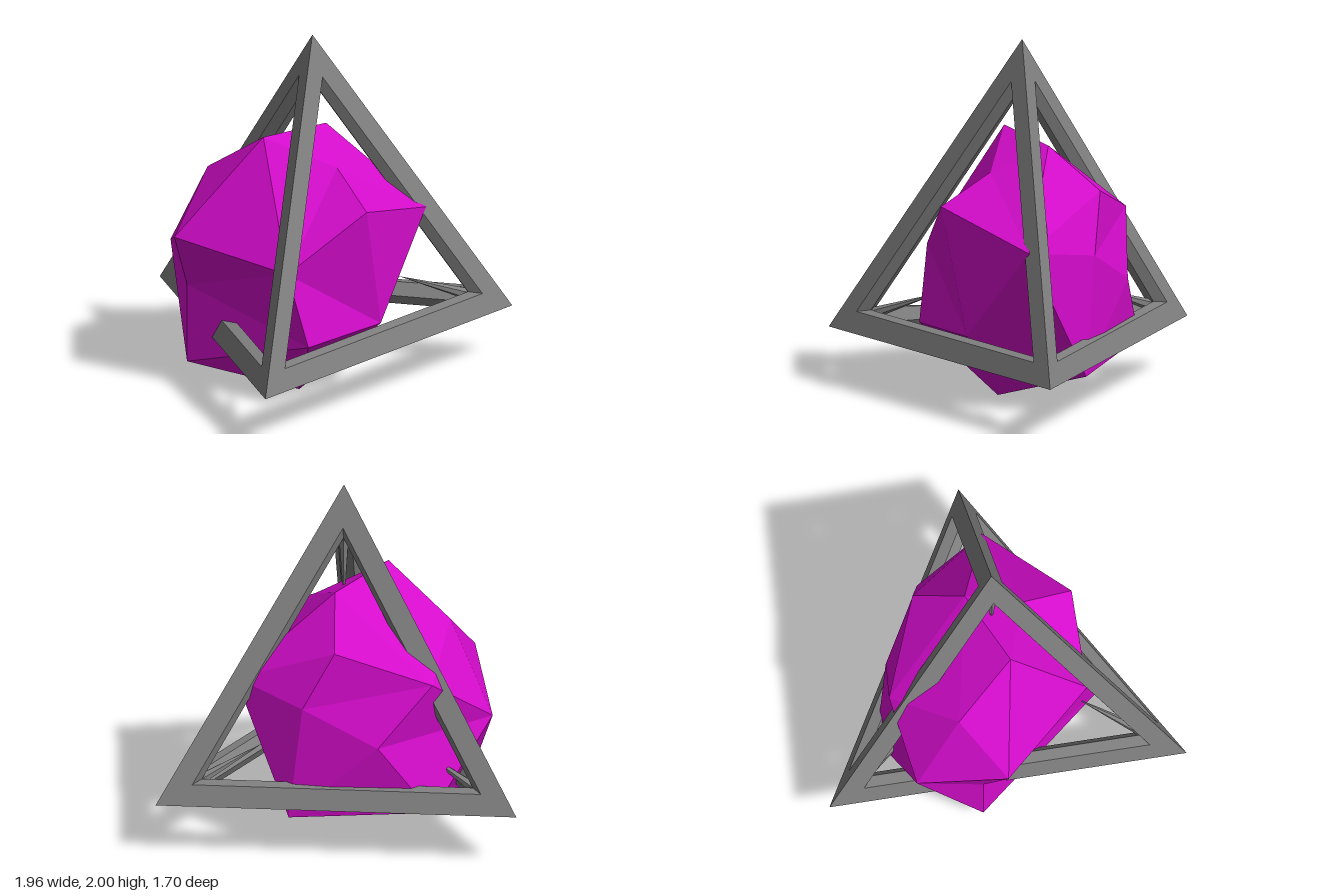
import * as THREE from 'three';

const frameGrey = new THREE.MeshStandardMaterial({ color: 0x808080 });
frameGrey.name = 'frame grey';
const gemMagenta = new THREE.MeshStandardMaterial({ color: 0xd40ccb });
gemMagenta.name = 'gem magenta';

const V = (x, y, z) => new THREE.Vector3(x, y, z);
const mean = (pts) => pts.reduce((s, p) => s.add(p), V(0, 0, 0)).divideScalar(pts.length);

// Corners of the tetrahedron: apex, two front corners, back corner
const corners = [V(0, 2, 0.283), V(-0.98, 0.305, 0.85), V(0.98, 0.305, 0.85), V(0, 0.305, -0.85)];
const centre = mean(corners);

// Collects convex polygons as triangles, each wound to face a given direction
function makeFacets() {
  const positions = [];
  return {
    add(pts, facing) {
      const normal = pts[1].clone().sub(pts[0]).cross(pts[2].clone().sub(pts[0]));
      const p = normal.dot(facing) < 0 ? [...pts].reverse() : pts;
      for (let i = 1; i < p.length - 1; i++) {
        for (const q of [p[0], p[i], p[i + 1]]) positions.push(q.x, q.y, q.z);
      }
    },
    build() {
      const geometry = new THREE.BufferGeometry();
      geometry.setAttribute('position', new THREE.Float32BufferAttribute(positions, 3));
      geometry.computeVertexNormals();
      return geometry;
    },
  };
}

// Open frame: each face has a triangular hole with walls running inwards
function frameGeometry() {
  const facets = makeFacets();
  const inner = []; // inner[f][v]: inner hole corner of face f beside corner v
  for (let f = 0; f < 4; f++) {
    const ids = [0, 1, 2, 3].filter((i) => i !== f);
    const mid = mean(ids.map((i) => corners[i]));
    const out = mid.clone().sub(centre).normalize();
    const hole = {};
    inner[f] = {};
    for (const i of ids) {
      hole[i] = mid.clone().lerp(corners[i], 0.8);
      inner[f][i] = mid.clone().lerp(corners[i], 0.75).addScaledVector(out, -0.055);
    }
    ids.forEach((i, k) => {
      const j = ids[(k + 1) % 3];
      facets.add([corners[i], corners[j], hole[j], hole[i]], out);
      const toMid = mid.clone().sub(mean([hole[i], hole[j]]));
      facets.add([hole[i], hole[j], inner[f][j], inner[f][i]], toMid);
    });
  }
  // Inward side of each bar
  for (let f = 0; f < 4; f++) {
    for (let g = f + 1; g < 4; g++) {
      const [i, j] = [0, 1, 2, 3].filter((n) => n !== f && n !== g);
      const quad = [inner[f][i], inner[f][j], inner[g][j], inner[g][i]];
      facets.add(quad, centre.clone().sub(mean(quad)));
    }
  }
  // Inward side of each corner
  for (let v = 0; v < 4; v++) {
    const tri = [0, 1, 2, 3].filter((f) => f !== v).map((f) => inner[f][v]);
    facets.add(tri, centre.clone().sub(corners[v]));
  }
  return facets.build();
}

// Irregular faceted gem
function gemGeometry() {
  const points = [
    [-0.09, 1.12, 0.77], [-0.49, 0.815, 0.555], [0.52, 0.95, 0.64], [0.55, 0.22, 0.27],
    [0.075, 0.42, 0.72], [-0.155, 0, 0.33], [-0.5, 0.125, -0.18], [0.15, 0.27, -0.4],
    [0.345, 0.67, -0.175], [-0.43, 0.4, 0.655], [-0.285, 1.46, 0.185], [0.165, 1.43, 0.23],
    [-0.02, 1.285, 0.485], [-0.655, 0.9, -0.13], [-0.305, 0.7, -0.485], [-0.5, 0.57, -0.18],
    [-0.315, 1.2, -0.2], [0.41, 1.2, 0.065], [0.53, 0.88, 0.195], [0.09, 1.0, -0.36],
  ].map((p) => V(...p));
  const faces = [
    // front
    [0, 1, 4], [0, 4, 2], [1, 9, 4], [4, 9, 5], [4, 5, 3], [4, 3, 2],
    // upper front and top
    [0, 12, 1], [0, 2, 12], [12, 2, 11], [12, 11, 10], [12, 10, 1],
    [10, 11, 16], [11, 19, 16], [11, 17, 19],
    // +x side
    [2, 11, 17], [2, 17, 18], [17, 18, 19], [18, 8, 19], [18, 3, 8], [2, 3, 18], [3, 7, 8],
    // -x side
    [16, 13, 10], [10, 13, 1], [1, 15, 13], [1, 9, 15], [9, 6, 15], [9, 5, 6],
    // back and underside
    [16, 19, 14], [16, 14, 13], [13, 15, 14], [14, 15, 6], [14, 6, 7], [14, 7, 8],
    [14, 8, 19], [5, 3, 7], [5, 7, 6],
  ];
  const middle = mean(points);
  const facets = makeFacets();
  for (const face of faces) {
    const pts = face.map((i) => points[i]);
    facets.add(pts, mean(pts).sub(middle));
  }
  return facets.build();
}

export function createModel() {
  const model = new THREE.Group();
  model.name = 'gemInTetrahedronFrame';

  const frame = new THREE.Mesh(frameGeometry(), frameGrey);
  frame.name = 'tetrahedronFrame';
  const gem = new THREE.Mesh(gemGeometry(), gemMagenta);
  gem.name = 'gem';
  model.add(frame, gem);

  // Spikes reaching from the corners towards the gem
  for (const corner of corners) {
    const base = centre.clone().lerp(corner, 0.84);
    const tip = centre.clone().lerp(corner, 0.43);
    const axis = tip.clone().sub(base);
    const cone = new THREE.ConeGeometry(0.038, axis.length(), 6).toNonIndexed();
    cone.computeVertexNormals();
    const spike = new THREE.Mesh(cone, frameGrey);
    spike.name = 'cornerSpike';
    spike.position.copy(mean([base, tip]));
    spike.quaternion.setFromUnitVectors(V(0, 1, 0), axis.normalize());
    model.add(spike);
  }
  return model;
}
